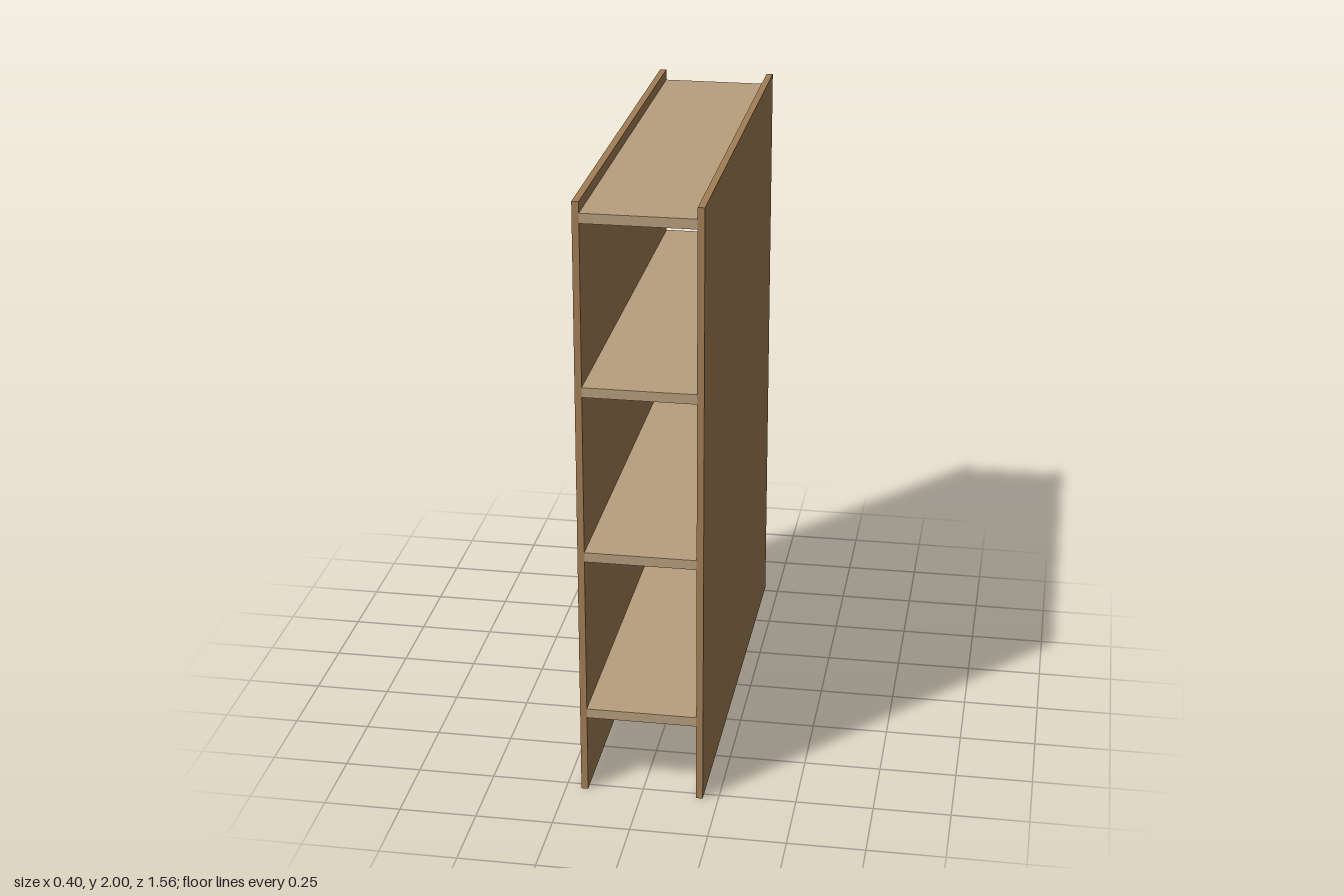
import * as THREE from 'three';

const WIDTH = 0.4, HEIGHT = 2, DEPTH = 1.556;
const PANEL = 0.022, SHELF = 0.032;

export function createModel() {
  const model = new THREE.Group();
  model.name = 'openShelfUnit';
  const panelWood = new THREE.MeshStandardMaterial({ color: 0xa37f55 });
  const shelfWood = new THREE.MeshStandardMaterial({ color: 0xb89f7f });

  const addBoard = (name, width, height, x, y, material) => {
    const board = new THREE.Mesh(new THREE.BoxGeometry(width, height, DEPTH), material);
    board.name = name;
    board.position.set(x, y, 0);
    model.add(board);
  };

  // Tall side panels
  for (const [name, side] of [['leftPanel', 1], ['rightPanel', -1]]) {
    addBoard(name, PANEL, HEIGHT, side * (WIDTH - PANEL) / 2, HEIGHT / 2, panelWood);
  }

  // Four evenly spaced shelves, open at front and back
  for (let i = 0; i < 4; i++) {
    addBoard(`shelf${i + 1}`, WIDTH - 2 * PANEL, SHELF, 0, 0.28 + i * 0.556, shelfWood);
  }
  return model;
}
